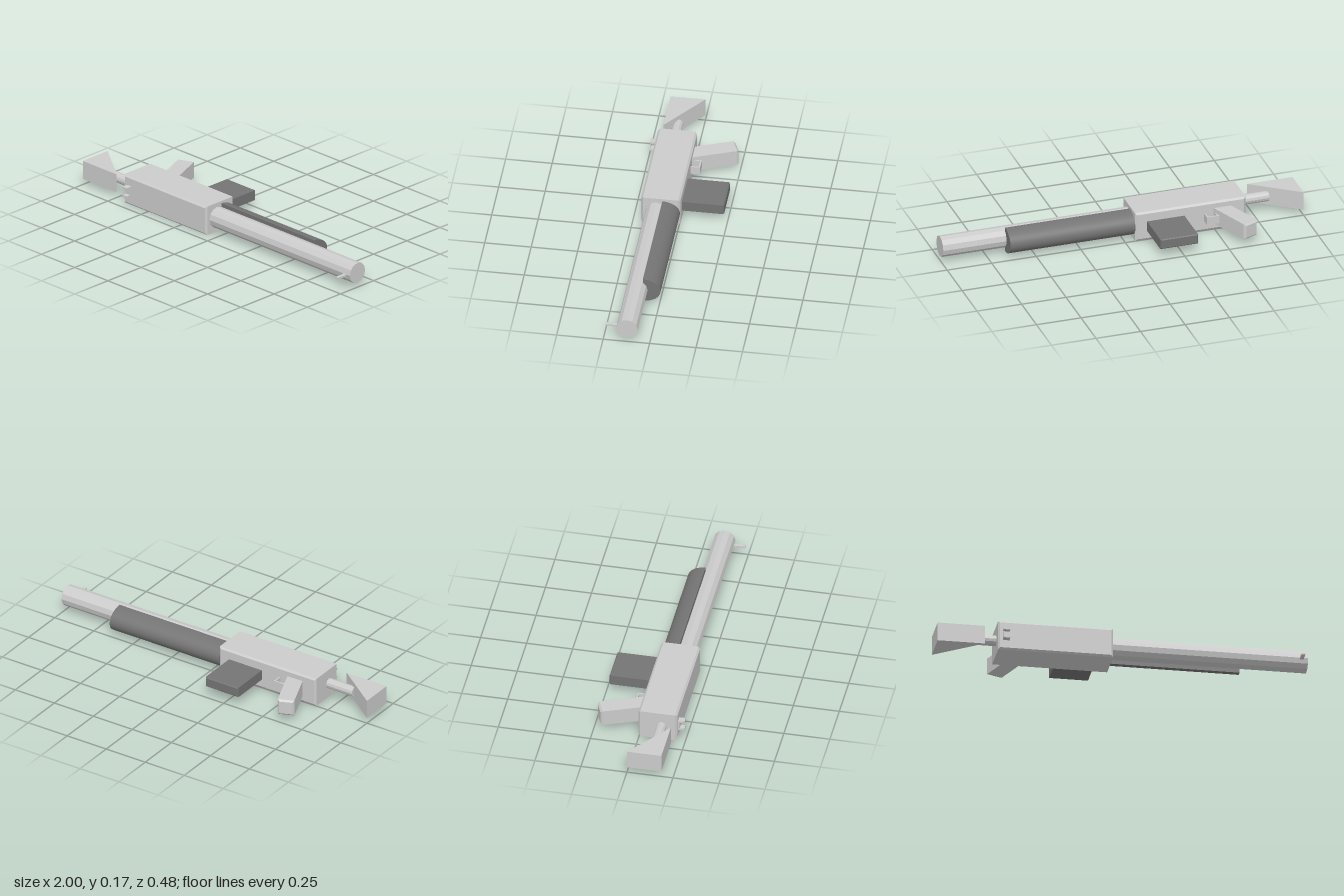
import * as THREE from 'three';

const grey = new THREE.MeshStandardMaterial({ color: 0xcccccc, flatShading: true });
const dark = new THREE.MeshStandardMaterial({ color: 0x747474, flatShading: true });
const darkSmooth = new THREE.MeshStandardMaterial({ color: 0x747474 });

const AXIS_Y = 0.083, AXIS_Z = 0.122;

export function createModel() {
  const model = new THREE.Group();

  const add = (name, geometry, material = grey, parent = model) => {
    const mesh = new THREE.Mesh(geometry, material);
    mesh.name = name;
    parent.add(mesh);
    return mesh;
  };

  // Plain box given by its limits on each axis
  const box = (name, x0, x1, y0, y1, z0, z1, parent = model) => {
    const mesh = add(name, new THREE.BoxGeometry(x1 - x0, y1 - y0, z1 - z0), grey, parent);
    mesh.position.set((x0 + x1) / 2, (y0 + y1) / 2, (z0 + z1) / 2);
    return mesh;
  };

  // Centred box with every edge chamfered by c
  const chamferBox = (w, h, d, c) => {
    const a = w / 2 - c, b = h / 2 - c;
    const shape = new THREE.Shape([[-a, -b], [a, -b], [a, b], [-a, b]].map(p => new THREE.Vector2(...p)));
    const geometry = new THREE.ExtrudeGeometry(shape, {
      depth: d - 2 * c, bevelEnabled: true, bevelSize: c, bevelThickness: c, bevelSegments: 1,
    });
    return geometry.translate(0, 0, -d / 2 + c);
  };

  // Cylinder lying along x
  const rod = (name, x0, x1, radius, sides) => {
    const geometry = new THREE.CylinderGeometry(radius, radius, x1 - x0, sides).rotateZ(-Math.PI / 2);
    const mesh = add(name, geometry);
    mesh.position.set((x0 + x1) / 2, AXIS_Y, AXIS_Z);
    return mesh;
  };

  // Receiver
  add('receiver', chamferBox(0.62, 0.165, 0.21, 0.01)).position.set(-0.365, 0.0825, 0.1);

  // Barrel and the tube that carries the stock
  rod('barrel', -0.08, 1, 0.058, 12);
  rod('stockTube', -0.84, -0.66, 0.028, 12);

  // Half-round handguard, flat side against the barrel
  const half = new THREE.Shape();
  half.absellipse(0, 0, 0.095, 0.07, -Math.PI / 2, Math.PI / 2, false);
  half.closePath();
  const guard = add('handguard', new THREE.ExtrudeGeometry(half, {
    depth: 0.7, bevelEnabled: false, curveSegments: 24,
  }).rotateY(Math.PI / 2), darkSmooth);
  guard.position.set(-0.055, AXIS_Y - 0.001, 0.09);

  // Magazine
  add('magazine', chamferBox(0.21, 0.057, 0.245, 0.005), dark).position.set(-0.225, 0.0815, -0.11);

  // Slanted grip, its upper end buried in the receiver
  const grip = add('grip', chamferBox(0.09, 0.091, 0.27, 0.01));
  grip.position.set(-0.581, 0.0825, -0.101);
  grip.rotation.y = 0.38;

  // Trigger guard: a thin rectangular loop
  const triggerGuard = new THREE.Group();
  triggerGuard.name = 'triggerGuard';
  model.add(triggerGuard);
  box('guardBottom', -0.51, -0.44, 0.06, 0.105, -0.055, -0.047, triggerGuard);
  box('guardFront', -0.448, -0.44, 0.06, 0.105, -0.047, 0.005, triggerGuard);
  box('guardRear', -0.505, -0.497, 0.06, 0.105, -0.047, 0.005, triggerGuard);

  // Triangular stock
  const wedge = new THREE.Shape([
    new THREE.Vector2(-1, 0), new THREE.Vector2(-1, -0.187), new THREE.Vector2(-0.745, -0.187),
  ]);
  add('stock', new THREE.ExtrudeGeometry(wedge, { depth: 0.104, bevelEnabled: false })
    .rotateX(-Math.PI / 2)).position.y = 0.033;

  // Notched rear sight and front sight post
  const rearSight = new THREE.Group();
  rearSight.name = 'rearSight';
  model.add(rearSight);
  box('sightBase', -0.65, -0.616, 0.053, 0.112, 0.2, 0.215, rearSight);
  for (const y of [0.053, 0.1]) box('sightProng', -0.65, -0.616, y, y + 0.012, 0.21, 0.241, rearSight);
  box('frontSight', 0.955, 0.975, 0.073, 0.083, 0.17, 0.242);

  return model;
}
